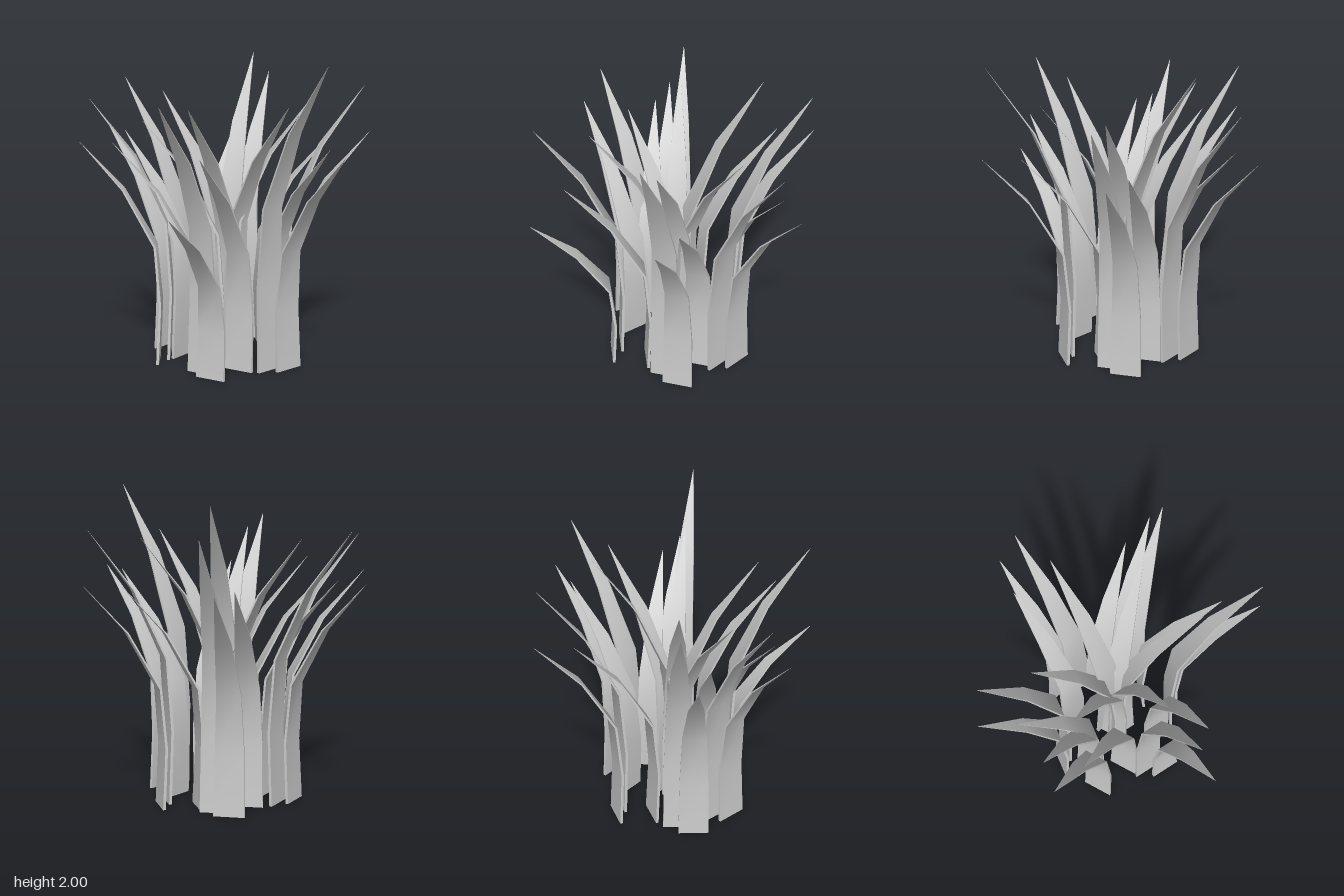
import * as THREE from 'three';

// Blade stations: [fraction of height, outward offset, width, thickness]
const STATIONS = [
  [0, 0, 0.2, 0.018],
  [0.27, -0.02, 0.187, 0.017],
  [0.535, 0.01, 0.155, 0.015],
  [0.785, 0.21, 0.1, 0.011],
  [1, 0.49, 0.002, 0.001],
];

// One clump: base position of each blade and its usual height
const BLADES = [
  { name: 'sideBlade', x: 0.198, z: 0.233, h: 1.46 },
  { name: 'outerBlade', x: 0.118, z: 0.458, h: 1.46 },
  { name: 'middleBlade', x: 0.018, z: 0.393, h: 1.78 },
  { name: 'innerBlade', x: 0.018, z: 0.058, h: 1.72 },
];

// Clump turns in degrees, with any blades that differ in height
const CLUMPS = [
  { turn: 0, heights: { outerBlade: 1.13 } },
  { turn: 68.3, heights: { middleBlade: 2.0 } },
  { turn: 126, heights: {} },
  { turn: 189, heights: { innerBlade: 1.95 } },
  { turn: 259.5, heights: {} },
  { turn: 297.3, heights: { innerBlade: 1.57, middleBlade: 1.71 } },
];

// Curved, tapering blade: four strips, smooth lengthwise with sharp edges
function bladeGeometry(height) {
  const positions = [];
  const indices = [];
  const rings = STATIONS.map(([t, out, w, d]) => [
    [-w / 2, t * height, out + d / 2],
    [w / 2, t * height, out + d / 2],
    [w / 2, t * height, out - d / 2],
    [-w / 2, t * height, out - d / 2],
  ]);
  for (let side = 0; side < 4; side++) {
    const start = positions.length / 3;
    for (const ring of rings) positions.push(...ring[side], ...ring[(side + 1) % 4]);
    for (let i = 0; i < rings.length - 1; i++) {
      const a = start + i * 2;
      indices.push(a, a + 1, a + 3, a, a + 3, a + 2);
    }
  }
  // Underside
  const b = positions.length / 3;
  for (const corner of rings[0]) positions.push(...corner);
  indices.push(b, b + 2, b + 1, b, b + 3, b + 2);

  const geometry = new THREE.BufferGeometry();
  geometry.setAttribute('position', new THREE.Float32BufferAttribute(positions, 3));
  geometry.setIndex(indices);
  geometry.computeVertexNormals();
  return geometry;
}

export function createModel() {
  const model = new THREE.Group();
  model.name = 'grassTuft';
  const material = new THREE.MeshStandardMaterial({ color: 0xcccccc });

  // Clumps fan out around a shared centre
  for (const { turn, heights } of CLUMPS) {
    const clump = new THREE.Group();
    clump.name = 'bladeClump';
    clump.position.set(0.017, 0, -0.018);
    clump.rotation.y = THREE.MathUtils.degToRad(turn);
    for (const { name, x, z, h } of BLADES) {
      const blade = new THREE.Mesh(bladeGeometry(heights[name] ?? h), material);
      blade.name = name;
      blade.position.set(x, 0, z);
      clump.add(blade);
    }
    model.add(clump);
  }
  return model;
}
